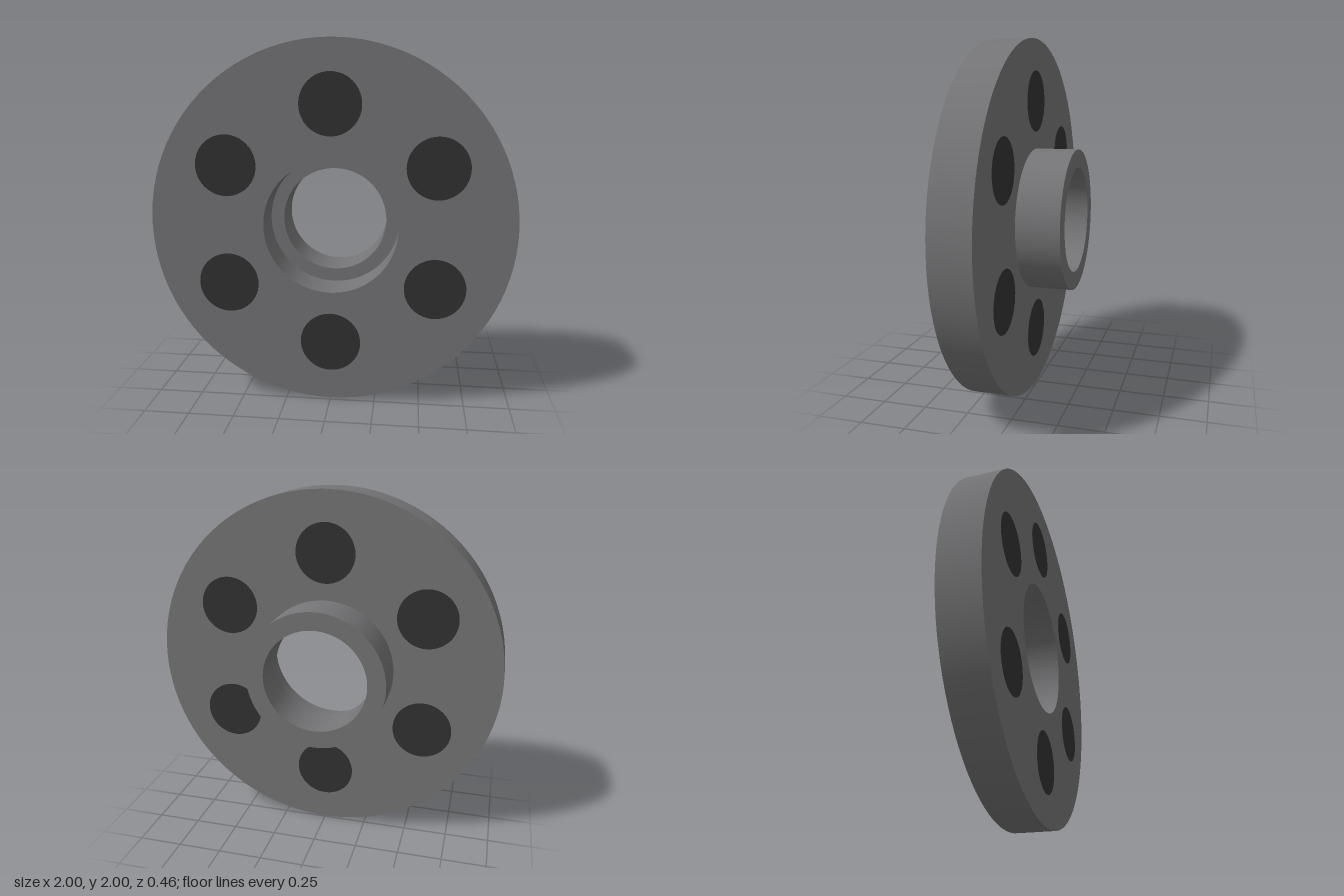
import * as THREE from 'three';
import { mergeGeometries } from 'three/addons/utils/BufferGeometryUtils.js';

const steel = new THREE.MeshStandardMaterial({ name: 'grey steel', color: 0x757577 });
const dark = new THREE.MeshStandardMaterial({ name: 'dark bolt hole', color: 0x323232 });

// Ring along z with smooth walls and crisp edges: one lathe strip per side
function ring(outer, inner, back, front) {
  const p = [[outer, back], [outer, front], [inner, front], [inner, back]]
    .map(([r, z]) => new THREE.Vector2(r, z));
  const strips = p.map((a, i) => new THREE.LatheGeometry([a, p[(i + 1) % 4]], 96));
  return mergeGeometries(strips).rotateX(Math.PI / 2);
}

export function createModel() {
  const model = new THREE.Group();
  model.name = 'wheelSpacer';

  const add = (name, geometry, material, x = 0, y = 1, z = 0) => {
    const mesh = new THREE.Mesh(geometry, material);
    mesh.name = name;
    mesh.position.set(x, y, z);
    model.add(mesh);
  };

  // Flange with a wide bore, and the narrower hub behind it
  add('flange', ring(1, 0.37, 0.008, 0.228), steel);
  add('hub', ring(0.397, 0.295, -0.232, 0.008), steel);

  // Six bolt holes, dark on both faces of the flange
  const hole = new THREE.CylinderGeometry(0.168, 0.168, 0.224, 48).rotateX(Math.PI / 2);
  for (let i = 0; i < 6; i++) {
    const a = Math.PI / 2 + i * Math.PI / 3;
    add(`boltHole${i + 1}`, hole, dark, 0.661 * Math.cos(a), 1 + 0.661 * Math.sin(a), 0.118);
  }
  return model;
}
